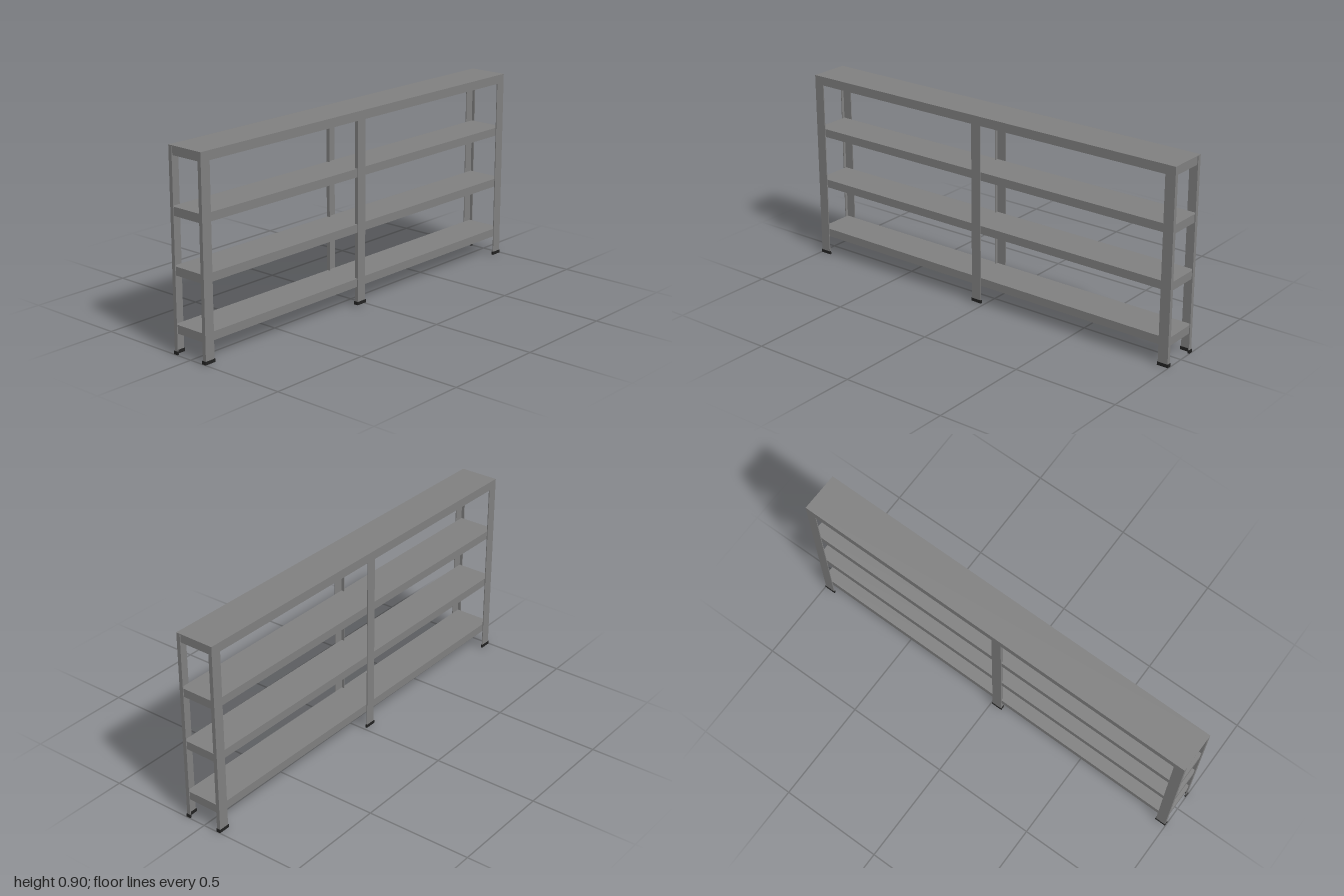
import * as THREE from 'three';

const metal = new THREE.MeshStandardMaterial({ color: 0x808080, flatShading: true });
const rubber = new THREE.MeshStandardMaterial({ color: 0x222222, flatShading: true });

const T = 0.004;        // sheet thickness
const HALF_X = 0.996;   // outer half length of the frame
const HALF_Z = 0.094;   // outer half depth of the frame
const POST_W = 0.049;
const FLANGE = 0.018;
const LIP = 0.039;

function box(parent, name, x0, x1, y0, y1, z0, z1, material = metal) {
  const mesh = new THREE.Mesh(new THREE.BoxGeometry(x1 - x0, y1 - y0, z1 - z0), material);
  mesh.position.set((x0 + x1) / 2, (y0 + y1) / 2, (z0 + z1) / 2);
  mesh.name = name;
  parent.add(mesh);
}

// Angle section: corner at the origin, legs along +x and -z, extruded up
function angleBar(name, w, d, t, height, material) {
  const s = new THREE.Shape([[0, 0], [w, 0], [w, t], [t, t], [t, d], [0, d]]
    .map(([x, y]) => new THREE.Vector2(x, y)));
  const g = new THREE.ExtrudeGeometry(s, { depth: height, bevelEnabled: false });
  g.rotateX(-Math.PI / 2);
  const mesh = new THREE.Mesh(g, material);
  mesh.name = name;
  return mesh;
}

// Upright with a dark foot cap; sx and sz mirror the angle section
function post(name, x, sx, sz, bottom, top) {
  const group = new THREE.Group();
  group.name = name;
  const bar = angleBar('upright', POST_W, FLANGE, T, top - bottom - 0.003, metal);
  bar.position.y = bottom + 0.003;
  const foot = angleBar('foot', POST_W + 0.006, FLANGE + 0.003, T + 0.004, 0.015, rubber);
  foot.position.set(-0.003, bottom, 0.0015);
  group.add(bar, foot);
  group.position.set(x, 0, sz * HALF_Z);
  group.scale.set(sx, 1, sz);
  return group;
}

// Folded tray, open underneath
function shelf(top) {
  const group = new THREE.Group();
  group.name = 'shelf';
  const x = HALF_X - T, z = HALF_Z - T, low = top - LIP;
  box(group, 'shelfTop', -x, x, top - T, top, -z, z);
  for (const s of [-1, 1]) {
    const a = s * z, b = s * (z - T);
    box(group, 'longLip', -x, x, low, top - T, Math.min(a, b), Math.max(a, b));
    const c = s * x, d = s * (x - T);
    box(group, 'endLip', Math.min(c, d), Math.max(c, d), low, top - T, -z + T, z - T);
  }
  // Cross brace under the middle
  box(group, 'crossBrace', -0.05, -0.01, top - 0.022, top - T, -z + T, z - T, rubber);
  return group;
}

export function createModel() {
  const root = new THREE.Group();
  root.name = 'shelvingUnit';
  const frame = new THREE.Group();
  frame.name = 'frame';

  for (const top of [0.9, 0.644, 0.388, 0.133]) frame.add(shelf(top));

  // Fill the top edge out to the faces of the posts
  box(frame, 'topCover', -HALF_X, HALF_X, 0.9, 0.903, -HALF_Z, HALF_Z);
  for (const s of [-1, 1]) {
    const a = s * HALF_Z, b = s * (HALF_Z - T);
    box(frame, 'topRail', -HALF_X + POST_W, HALF_X - POST_W, 0.861, 0.9, Math.min(a, b), Math.max(a, b));
  }

  // Corner and middle posts, front and back
  for (const sz of [-1, 1]) {
    for (const sx of [-1, 1]) frame.add(post('cornerPost', sx * HALF_X, -sx, sz, 0, 0.9));
    frame.add(post('middlePost', -0.058, 1, sz, 0.008, 0.861));
  }

  // The unit stands very slightly askew
  frame.rotation.y = -0.006;
  root.add(frame);
  return root;
}
